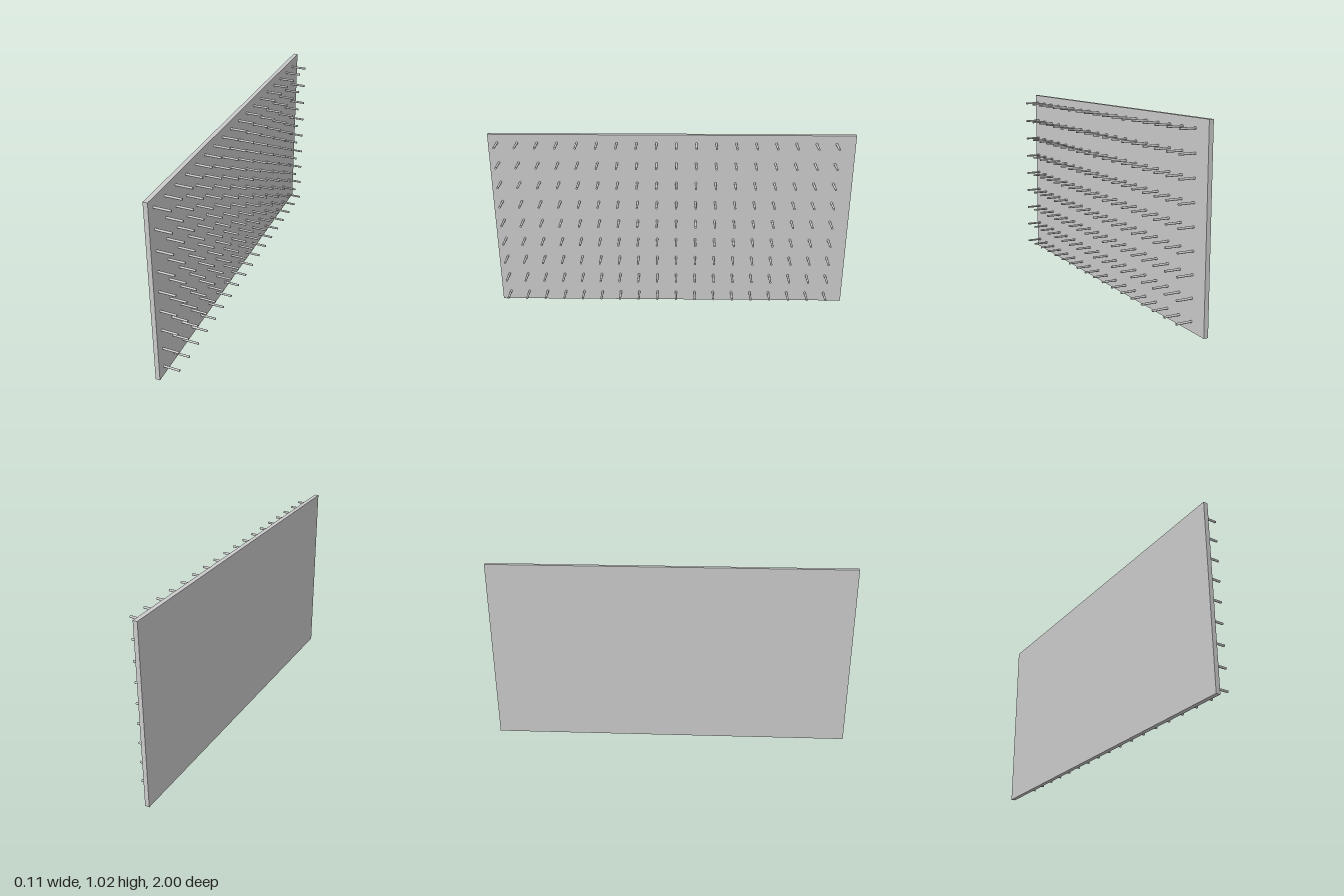
import * as THREE from 'three';

export function createModel() {
  const model = new THREE.Group();
  const material = new THREE.MeshStandardMaterial({ color: 0xcccccc });

  const height = 1.024, back = -0.056, face = -0.032, tip = 0.056;

  // Upright flat board
  const board = new THREE.Mesh(new THREE.BoxGeometry(face - back, height, 2), material);
  board.name = 'board';
  board.position.set((back + face) / 2, height / 2, 0);
  model.add(board);

  // Grid of round pegs standing out from the board's face
  const rows = 9, columns = 18;
  const pegs = new THREE.Group();
  pegs.name = 'pegs';
  const pegGeometry = new THREE.CylinderGeometry(0.006, 0.006, tip - face, 12);
  pegGeometry.rotateZ(-Math.PI / 2);
  for (let r = 0; r < rows; r++) {
    for (let c = 0; c < columns; c++) {
      const peg = new THREE.Mesh(pegGeometry, material);
      peg.name = 'peg';
      peg.position.set(
        (face + tip) / 2,
        THREE.MathUtils.lerp(0.052, 0.976, r / (rows - 1)),
        THREE.MathUtils.lerp(0.95, -0.896, c / (columns - 1))
      );
      pegs.add(peg);
    }
  }
  model.add(pegs);

  return model;
}
